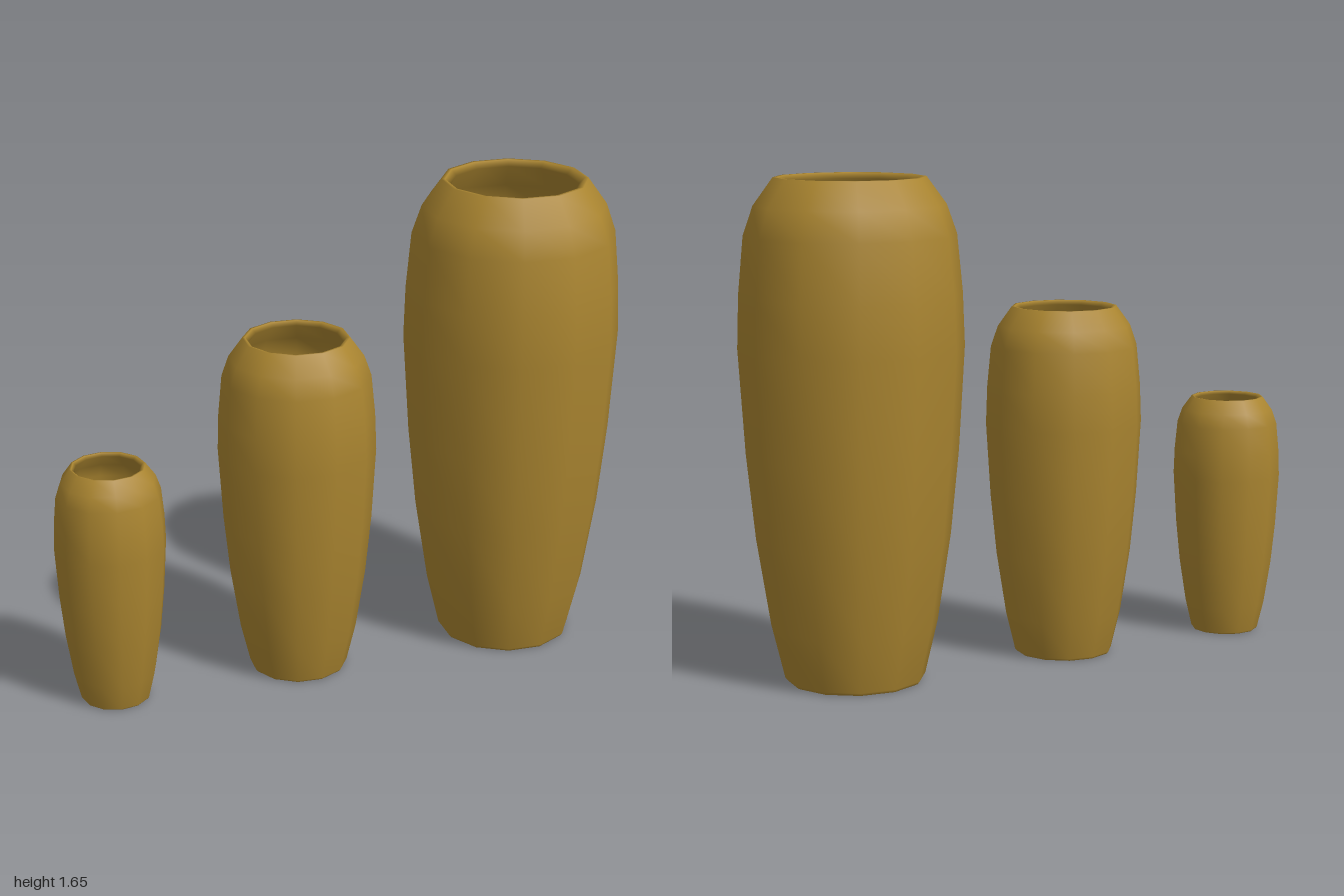
import * as THREE from 'three';

const SIDES = 12;

const lathe = (profile) =>
  new THREE.LatheGeometry(profile.map(([r, y]) => new THREE.Vector2(r, y)), SIDES);

export function createModel() {
  const clay = new THREE.MeshStandardMaterial({ color: 0xaa8530 });
  clay.name = 'ochre glaze';

  // Outer wall from foot to rim, over the lip and down the inside
  const wall = lathe([
    [0.224, 0], [0.232, 0.01], [0.275, 0.19], [0.32, 0.48], [0.348, 0.76],
    [0.369, 1.105], [0.363, 1.28], [0.345, 1.47], [0.312, 1.565], [0.247, 1.655],
    [0.235, 1.655], [0.216, 1.635], [0.285, 1.55], [0.315, 1.46], [0.335, 1.28],
    [0.34, 1.105], [0.318, 0.76], [0.29, 0.48], [0.245, 0.19], [0.218, 0.05],
  ]);
  // Flat underside and a raised inner floor
  const base = lathe([[0, 0], [0.224, 0]]);
  const floor = lathe([[0.218, 0.05], [0, 0.19]]);

  const makeVase = (name, x, scale, turn) => {
    const vase = new THREE.Group();
    vase.name = name;
    for (const [part, geometry] of [['wall', wall], ['base', base], ['innerFloor', floor]]) {
      const mesh = new THREE.Mesh(geometry, clay);
      mesh.name = part;
      vase.add(mesh);
    }
    vase.position.x = x;
    vase.rotation.y = THREE.MathUtils.degToRad(turn);
    vase.scale.setScalar(scale);
    return vase;
  };

  // Three vases of the same form in rising sizes
  const model = new THREE.Group();
  model.name = 'vaseSet';
  model.add(
    makeVase('smallVase', -0.816, 0.507, -7.5),
    makeVase('mediumVase', -0.153, 0.723, 8.5),
    makeVase('largeVase', 0.635, 1, 10),
  );
  return model;
}
